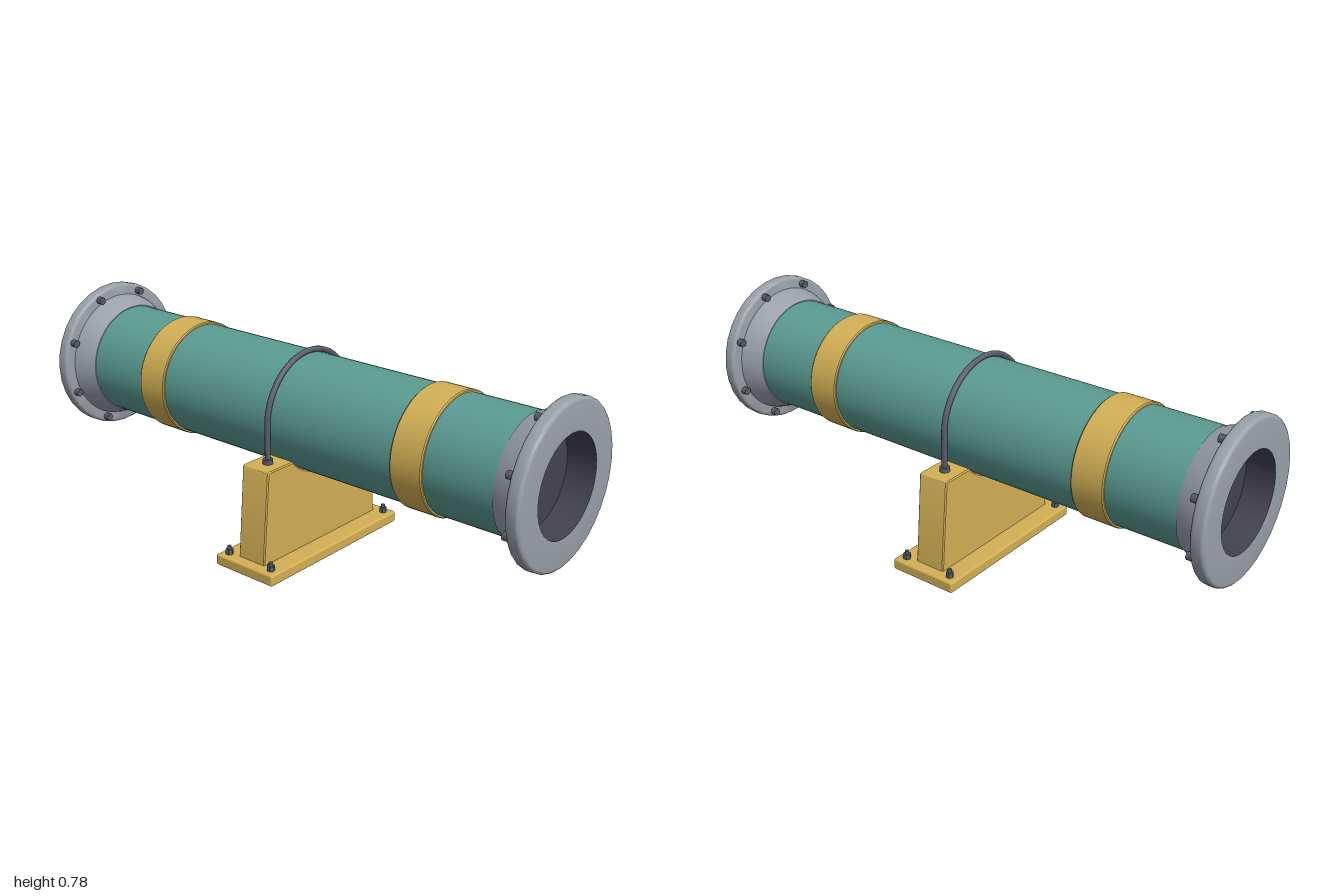
import * as THREE from 'three';
import { toCreasedNormals } from 'three/addons/utils/BufferGeometryUtils.js';
import { RoundedBoxGeometry } from 'three/addons/geometries/RoundedBoxGeometry.js';

const AXIS_Y = 0.503, PIPE_R = 0.2, SADDLE_TOP = 0.37;

function material(name, color) {
  const m = new THREE.MeshStandardMaterial({ color });
  m.name = name;
  return m;
}

export function createModel() {
  const teal = material('teal paint', 0x5b9c92);
  const yellow = material('yellow paint', 0xd3b055);
  const grey = material('grey steel', 0x9aa1aa);
  const dark = material('dark bore', 0x434250);
  const steel = material('dark steel', 0x595d68);

  const model = new THREE.Group();
  model.name = 'pipeOnSaddle';

  function add(parent, name, geometry, mat, x = 0, y = 0, z = 0) {
    const mesh = new THREE.Mesh(geometry, mat);
    mesh.name = name;
    mesh.position.set(x, y, z);
    parent.add(mesh);
    return mesh;
  }

  // Turned part along z from [radius, z] pairs
  function turned(points, segments) {
    const g = new THREE.LatheGeometry(points.map(p => new THREE.Vector2(p[0], p[1])), segments);
    return toCreasedNormals(g.rotateX(Math.PI / 2), 0.6);
  }

  // Pipe body
  add(model, 'pipe', turned([[PIPE_R, -0.88], [PIPE_R, 0.88]], 48), teal, 0, AXIS_Y, 0);

  // Painted bands
  const bandGeo = turned([
    [0.198, -0.06], [0.205, -0.06], [0.208, -0.056],
    [0.208, 0.056], [0.205, 0.06], [0.198, 0.06],
  ], 48);
  for (const z of [0.56, -0.56]) add(model, 'band', bandGeo, yellow, 0, AXIS_Y, z);

  // Flanged ends with hub, bore and bolt circle
  const rim = [[0.2, 0.952]];
  for (let i = 0; i <= 4; i++) {
    const a = -Math.PI / 2 + (i / 4) * Math.PI / 2;
    rim.push([0.261 + 0.012 * Math.cos(a), 0.964 + 0.012 * Math.sin(a)]);
  }
  for (let i = 0; i <= 4; i++) {
    const a = (i / 4) * Math.PI / 2;
    rim.push([0.261 + 0.012 * Math.cos(a), 0.988 + 0.012 * Math.sin(a)]);
  }
  rim.push([0.168, 1]);
  const flangeGeo = turned(rim, 32);
  const hubGeo = turned([[0.199, 0.87], [0.203, 0.87], [0.23, 0.942], [0.232, 0.953]], 48);
  const boreGeo = turned([[0.168, 1], [0.168, 0.9], [0, 0.9]], 64);
  const flangeBoltGeo = new THREE.CylinderGeometry(0.014, 0.014, 0.022, 8).rotateX(Math.PI / 2);
  for (const turn of [0, Math.PI]) {
    const end = new THREE.Group();
    end.name = turn ? 'rearEnd' : 'frontEnd';
    end.position.y = AXIS_Y;
    end.rotation.y = turn;
    add(end, 'flange', flangeGeo, grey);
    add(end, 'hub', hubGeo, grey);
    add(end, 'bore', boreGeo, dark);
    for (let i = 0; i < 8; i++) {
      const a = (i + 0.5) * Math.PI / 4;
      add(end, 'flangeBolt', flangeBoltGeo, steel, 0.25 * Math.cos(a), 0.25 * Math.sin(a), 0.943);
    }
    model.add(end);
  }

  // Base plate
  add(model, 'basePlate', new RoundedBoxGeometry(0.676, 0.04, 0.256, 2, 0.007), yellow, 0, 0.02, 0);

  // Tapered saddle with a round seat for the pipe
  const start = Math.asin((SADDLE_TOP - AXIS_Y) / PIPE_R);
  const outline = new THREE.Shape();
  outline.moveTo(-0.298, 0.035);
  outline.lineTo(0.298, 0.035);
  outline.lineTo(0.272, 0.36);
  outline.quadraticCurveTo(0.271, SADDLE_TOP, 0.262, SADDLE_TOP);
  outline.lineTo(PIPE_R * Math.cos(start), SADDLE_TOP);
  outline.absarc(0, AXIS_Y, PIPE_R, start, -Math.PI - start, true);
  outline.lineTo(-0.262, SADDLE_TOP);
  outline.quadraticCurveTo(-0.271, SADDLE_TOP, -0.272, 0.36);
  const saddleGeo = new THREE.ExtrudeGeometry(outline, {
    depth: 0.108, curveSegments: 16, bevelEnabled: true,
    bevelThickness: 0.004, bevelSize: 0.004, bevelOffset: -0.004, bevelSegments: 1,
  }).translate(0, 0, -0.054);
  add(model, 'saddle', toCreasedNormals(saddleGeo, 0.5), yellow);

  // Anchor bolts at the plate corners
  const nutGeo = new THREE.CylinderGeometry(0.014, 0.014, 0.018, 6).toNonIndexed();
  nutGeo.computeVertexNormals();
  const studGeo = new THREE.CylinderGeometry(0.007, 0.007, 0.032, 10);
  for (const x of [-0.305, 0.305]) for (const z of [-0.095, 0.095]) {
    add(model, 'anchorNut', nutGeo, steel, x, 0.049, z);
    add(model, 'anchorStud', studGeo, steel, x, 0.054, z);
  }

  // U-shaped clamp rod over the pipe, with a nut at each foot
  const rodR = 0.21;
  const path = new THREE.CurvePath();
  const v = (x, y) => new THREE.Vector3(x, y, 0);
  const arc = [];
  for (let i = 0; i <= 24; i++) {
    const a = Math.PI * i / 24;
    arc.push(v(rodR * Math.cos(a), AXIS_Y + rodR * Math.sin(a)));
  }
  path.add(new THREE.LineCurve3(v(rodR, SADDLE_TOP - 0.01), arc[0]));
  path.add(new THREE.CatmullRomCurve3(arc));
  path.add(new THREE.LineCurve3(arc[24], v(-rodR, SADDLE_TOP - 0.01)));
  add(model, 'clampRod', new THREE.TubeGeometry(path, 64, 0.01, 10), steel);
  const footGeo = new THREE.CylinderGeometry(0.018, 0.018, 0.016, 12);
  for (const x of [-rodR, rodR]) add(model, 'clampNut', footGeo, steel, x, SADDLE_TOP + 0.008, 0);

  return model;
}
